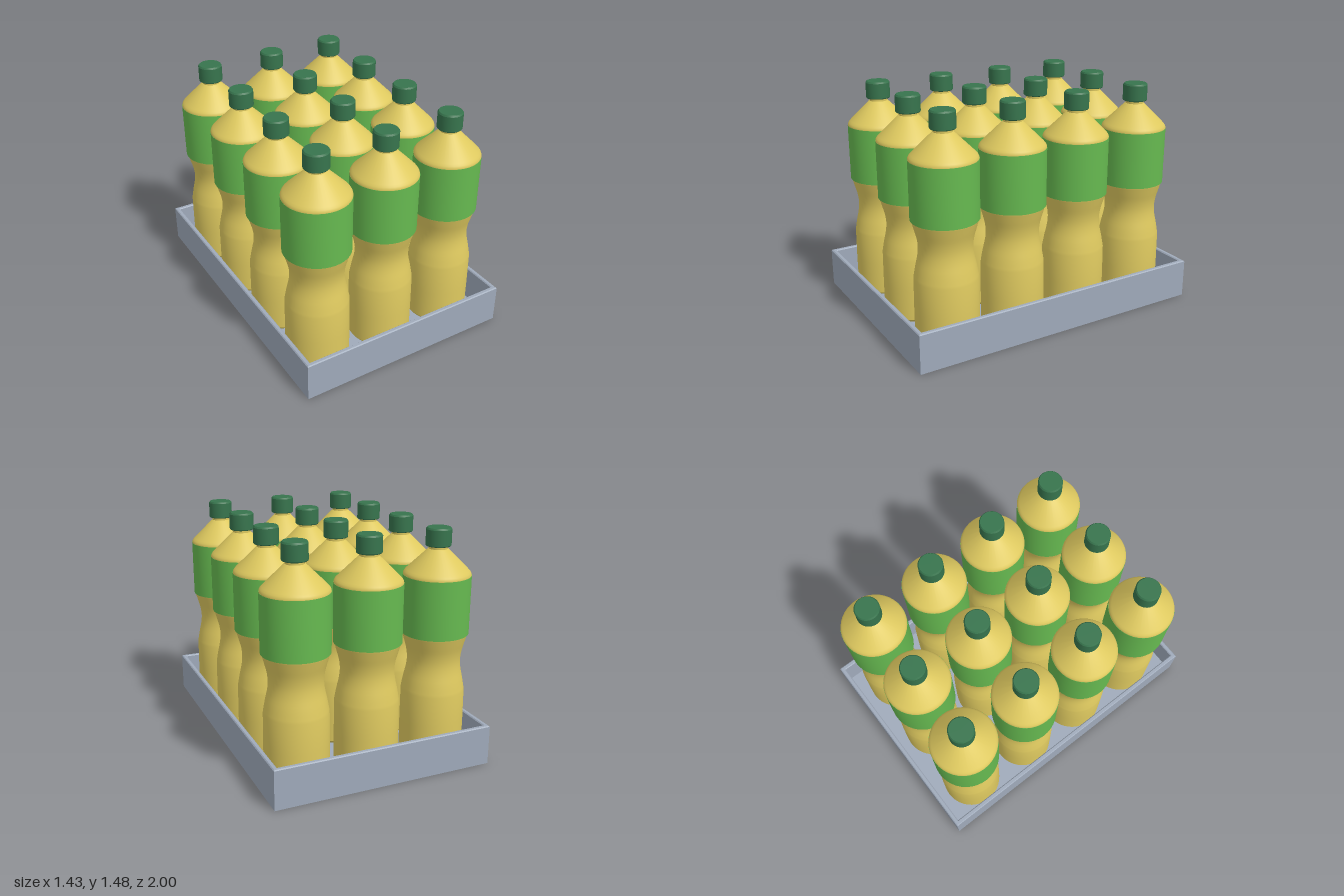
import * as THREE from 'three';
import { toCreasedNormals } from 'three/addons/utils/BufferGeometryUtils.js';

const SEGMENTS = 40;
const mat = (name, color) => {
  const m = new THREE.MeshStandardMaterial({ color });
  m.name = name;
  return m;
};

// Solid of revolution from [radius, height] pairs, keeping hard edges crisp
function turned(points) {
  const g = new THREE.LatheGeometry(points.map(([r, y]) => new THREE.Vector2(r, y)), SEGMENTS);
  return toCreasedNormals(g, 0.5);
}

// Rectangular shell from [inset, height] pairs, faceted
function rectangularShell(halfX, halfZ, profile) {
  const corners = [[1, 1], [1, -1], [-1, -1], [-1, 1]];
  const at = ([inset, y], k) => {
    const [sx, sz] = corners[k % 4];
    return [sx * (halfX - inset), y, sz * (halfZ - inset)];
  };
  const pos = [];
  const quad = (a, b, c, d) => pos.push(...a, ...b, ...c, ...a, ...c, ...d);
  for (let i = 0; i < profile.length - 1; i++) {
    for (let k = 0; k < 4; k++) {
      quad(at(profile[i], k), at(profile[i], k + 1), at(profile[i + 1], k + 1), at(profile[i + 1], k));
    }
  }
  const first = profile[0], last = profile[profile.length - 1];
  quad(at(first, 3), at(first, 2), at(first, 1), at(first, 0)); // underside
  quad(at(last, 0), at(last, 1), at(last, 2), at(last, 3)); // inner floor
  const g = new THREE.BufferGeometry();
  g.setAttribute('position', new THREE.Float32BufferAttribute(pos, 3));
  g.computeVertexNormals();
  return g;
}

export function createModel() {
  const model = new THREE.Group();
  model.name = 'bottleCrate';

  const crateGrey = mat('crateGrey', 0x9faaba);
  const bottleYellow = mat('bottleYellow', 0xdec95f);
  const labelGreen = mat('labelGreen', 0x66b950);
  const capGreen = mat('capGreen', 0x37744d);

  // Open tray with a slightly bevelled rim
  const tray = new THREE.Mesh(rectangularShell(0.716, 1, [
    [0, 0], [0, 0.25], [0.006, 0.256], [0.024, 0.256], [0.03, 0.25], [0.03, 0.03],
  ]), crateGrey);
  tray.name = 'tray';
  model.add(tray);

  // Bottle body: straight base, pinched waist, conical shoulder and neck
  const waist = new THREE.SplineCurve([
    [0.198, 0.45], [0.185, 0.52], [0.17, 0.59], [0.165, 0.65], [0.172, 0.71], [0.188, 0.77], [0.203, 0.825],
  ].map(([r, y]) => new THREE.Vector2(r, y))).getPoints(18).map((p) => [p.x, p.y]);
  const bodyGeometry = turned([
    [0, 0.03], [0.19, 0.03], [0.2, 0.045], [0.2, 0.25], ...waist,
    [0.203, 1.185], [0.207, 1.187], [0.206, 1.195], [0.2, 1.206], [0.19, 1.217],
    [0.065, 1.341], [0.058, 1.346], [0.058, 1.37],
  ]);

  // Label sleeve wrapped round the upper body
  const labelGeometry = turned([
    [0.2, 0.822], [0.208, 0.822], [0.208, 1.187], [0.2, 1.187],
  ]);

  // Screw cap with chamfered top edge
  const capGeometry = turned([
    [0, 1.363], [0.074, 1.363], [0.078, 1.368], [0.078, 1.465], [0.071, 1.475], [0, 1.475],
  ]);

  const parts = [
    ['body', bodyGeometry, bottleYellow],
    ['label', labelGeometry, labelGreen],
    ['cap', capGeometry, capGreen],
  ];

  // Three by four grid of bottles
  const spacing = 0.464;
  for (let row = 0; row < 4; row++) {
    for (let col = 0; col < 3; col++) {
      const bottle = new THREE.Group();
      bottle.name = `bottle${row * 3 + col + 1}`;
      for (const [name, geometry, material] of parts) {
        const mesh = new THREE.Mesh(geometry, material);
        mesh.name = name;
        bottle.add(mesh);
      }
      bottle.position.set((col - 1) * spacing - 0.005, 0, (row - 1.5) * spacing - 0.006);
      model.add(bottle);
    }
  }
  return model;
}
